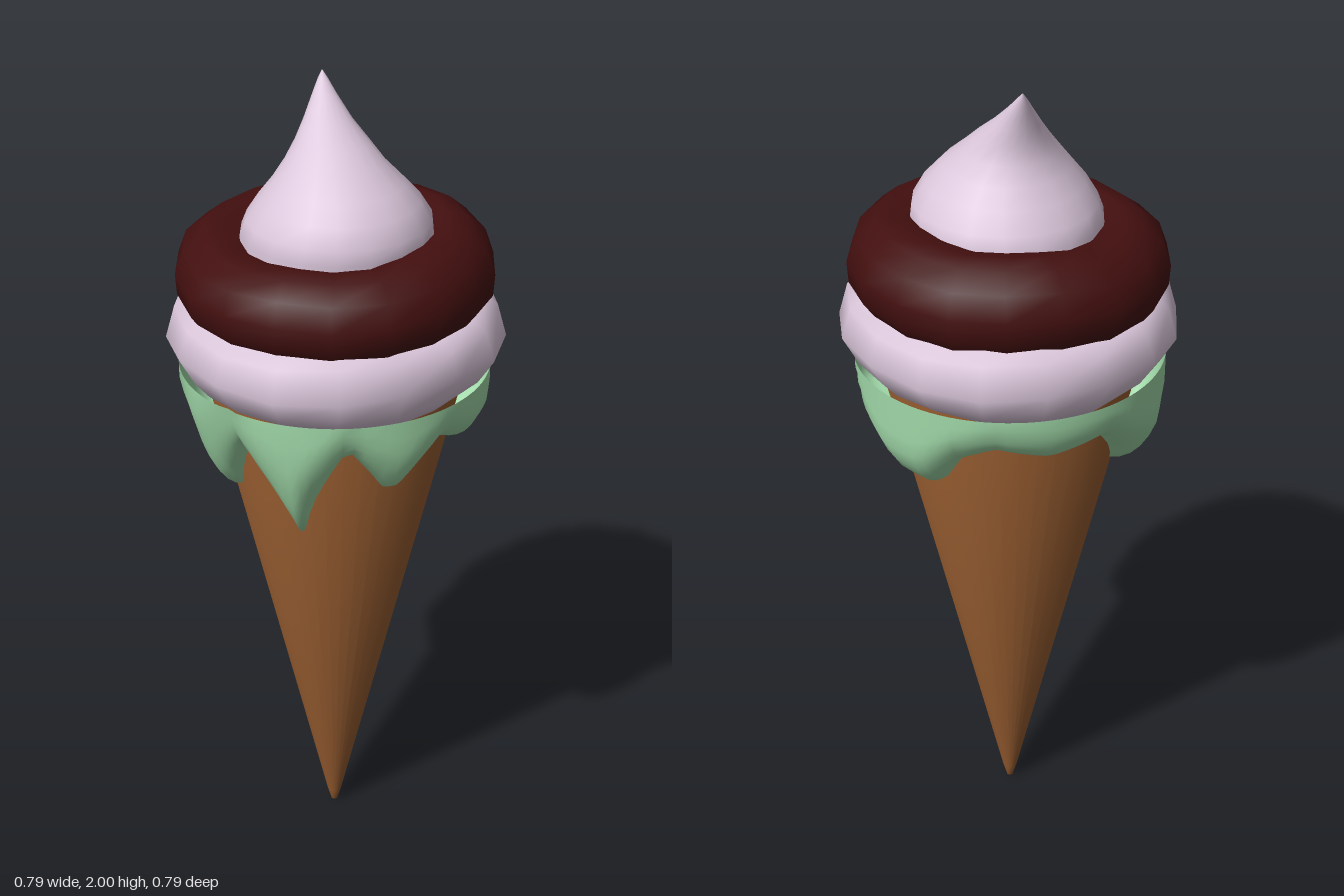
import * as THREE from 'three';

const mat = (color) => new THREE.MeshStandardMaterial({ color, roughness: 0.8, side: THREE.DoubleSide });
const cream = mat(0xdcc8dc), chocolate = mat(0x430f0f), mint = mat(0xa0d8a8), wafer = mat(0x965c30);
const coneRadius = (y) => 0.009 + 0.226 * y;

// Closed band of rings, bottom to top; point(ring, angle) gives [x, y, z]. Angle 0 faces the front.
function loft(name, rings, sides, material, point) {
  const pos = [], index = [];
  for (let i = 0; i < rings; i++) {
    for (let j = 0; j < sides; j++) pos.push(...point(i, (j / sides) * Math.PI * 2));
  }
  for (let i = 0; i < rings - 1; i++) {
    for (let j = 0; j < sides; j++) {
      const k = (j + 1) % sides;
      const a = i * sides + j, b = i * sides + k, c = b + sides, d = a + sides;
      index.push(a, b, c, a, c, d);
    }
  }
  const geo = new THREE.BufferGeometry();
  geo.setAttribute('position', new THREE.Float32BufferAttribute(pos, 3));
  geo.setIndex(index);
  geo.computeVertexNormals();
  const mesh = new THREE.Mesh(geo, material);
  mesh.name = name;
  return mesh;
}

// Lower edge of the melted collar: [degrees, height, thickness], alternating drips and gaps
const edge = [
  [-78, 1.14, 0.085], [-68, 1.08, 0.09], [-60, 1.16, 0.08], [-48, 1.1, 0.07], [-36, 1.2, 0.06],
  [-22, 1.05, 0.07], [0, 1.24, 0.05], [14, 1.12, 0.07], [24, 1.0, 0.08], [30, 1.09, 0.08],
  [46, 1.26, 0.055], [66, 1.12, 0.08], [86, 1.25, 0.06], [104, 1.2, 0.075], [118, 1.22, 0.075],
  [138, 1.28, 0.05], [158, 1.18, 0.085], [170, 1.1, 0.09], [186, 1.1, 0.09], [200, 1.2, 0.07],
  [215, 1.24, 0.06], [238, 1.21, 0.065], [262, 1.24, 0.065], [282, 1.14, 0.085],
];
function edgeAt(angle) {
  let deg = THREE.MathUtils.radToDeg(angle);
  if (deg > 282) deg -= 360;
  let i = 0;
  while (i < edge.length - 2 && edge[i + 1][0] < deg) i++;
  const [a, b] = [edge[i], edge[i + 1]];
  const t = (deg - a[0]) / (b[0] - a[0]);
  return [THREE.MathUtils.lerp(a[1], b[1], t), THREE.MathUtils.lerp(a[2], b[2], t)];
}

export function createModel() {
  const group = new THREE.Group();

  // Wafer cone with a slightly blunt tip, closed inside the scoop
  const coneProfile = [[0, 0], [0.008, 0.004], [coneRadius(0.04), 0.04], [coneRadius(1.36), 1.36], [0, 1.36]];
  const cone = new THREE.Mesh(
    new THREE.LatheGeometry(coneProfile.map(([r, y]) => new THREE.Vector2(r, y)), 40), wafer);
  cone.name = 'cone';
  group.add(cone);

  // Melted collar dripping over the cone's rim
  const steps = 9;
  group.add(loft('meltedCollar', steps, 90, mint, (i, a) => {
    const [low, thick] = edgeAt(a);
    const t = 1 - i / (steps - 1);
    const y = 1.345 - (1.345 - low) * Math.sin(t * Math.PI / 2);
    const s = Math.sin(t * Math.PI / 2);
    const r = Math.min(0.367, coneRadius(y) + thick * Math.sqrt(1 - s ** 4) - 0.002);
    return [r * Math.sin(a), y, r * Math.cos(a)];
  }));

  // Lower cream ring, broad and lumpy
  const creamRing = [[0.25, 1.33], [0.325, 1.315], [0.36, 1.35], [0.397, 1.415], [0.375, 1.485], [0.34, 1.51], [0.25, 1.52]];
  group.add(loft('creamRing', creamRing.length, 17, cream, (i, a) => {
    const r = creamRing[i][0] * (1 + 0.008 * Math.sin(3 * a + 1));
    return [r * Math.sin(a), creamRing[i][1] + 0.007 * Math.sin(4 * a + i), r * Math.cos(a)];
  }));

  // Chocolate ring, rising a little towards the back
  const chocRing = [[0.25, 1.48], [0.335, 1.487], [0.367, 1.53], [0.37, 1.58], [0.35, 1.635],
    [0.305, 1.67], [0.26, 1.68], [0.2, 1.66]];
  group.add(loft('chocolateRing', chocRing.length, 18, chocolate, (i, a) => {
    const r = chocRing[i][0] * (1 + 0.008 * Math.sin(3 * a));
    const lift = (i / 7) * (0.016 * -Math.cos(a)) + 0.004 * Math.sin(5 * a);
    return [r * Math.sin(a), chocRing[i][1] + lift, r * Math.cos(a)];
  }));

  // Cream peak with its tip curling to one side: [height, radius, centre x, centre z]
  const peak = [[1.6, 0.22, 0.01, 0.005], [1.67, 0.222, 0.014, 0.008], [1.705, 0.213, 0.022, 0.01],
    [1.75, 0.185, 0.026, 0.014], [1.79, 0.15, 0.022, 0.014], [1.83, 0.114, 0.008, 0.01],
    [1.87, 0.084, -0.012, -0.004], [1.91, 0.055, -0.038, -0.02], [1.955, 0.028, -0.067, -0.042],
    [1.985, 0.011, -0.084, -0.056], [2, 0.001, -0.091, -0.062]];
  group.add(loft('creamPeak', peak.length, 18, cream, (i, a) => {
    const [y, r, cx, cz] = peak[i];
    return [cx + r * Math.sin(a), y, cz + r * Math.cos(a)];
  }));

  return group;
}
